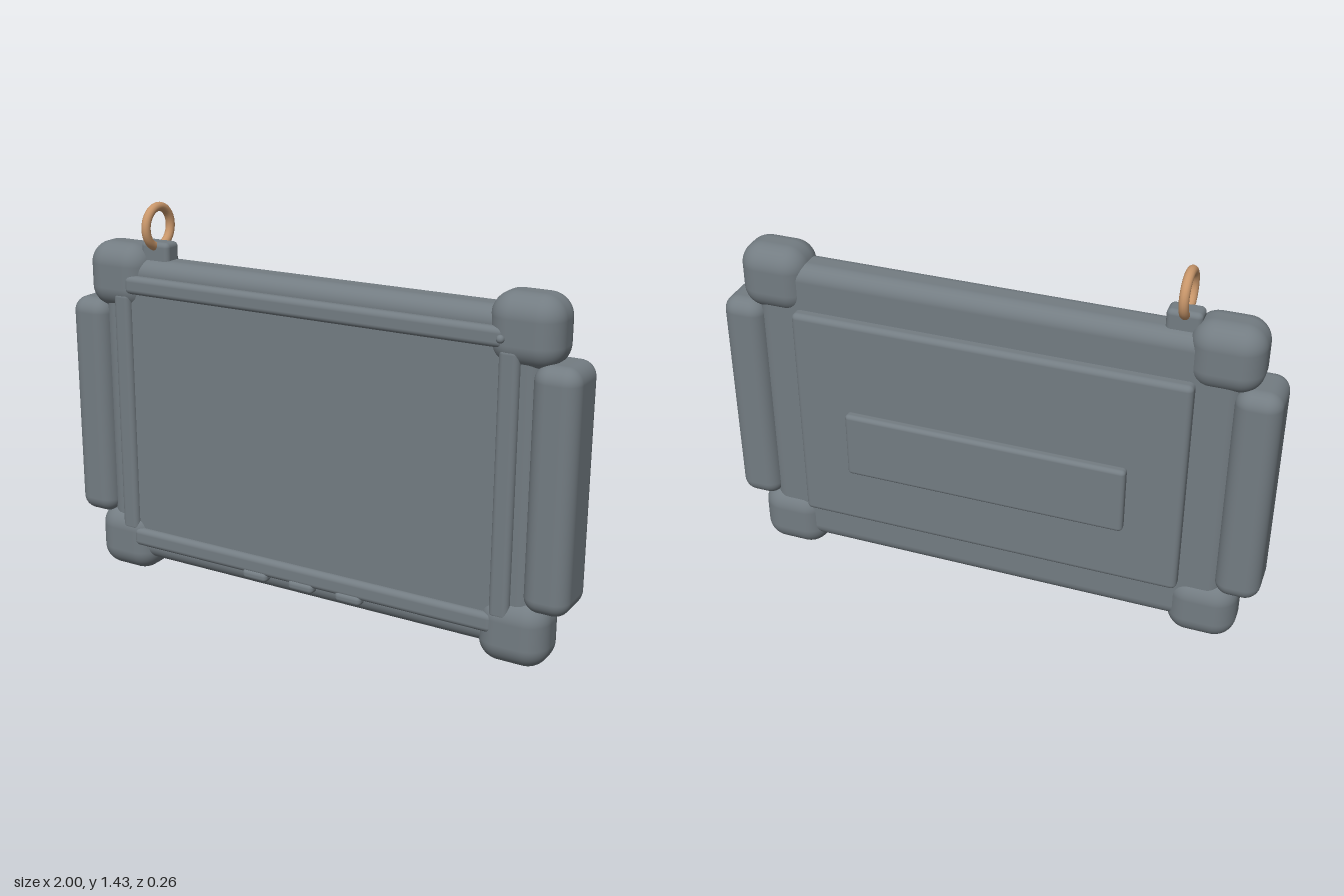
import * as THREE from 'three';
import { RoundedBoxGeometry } from 'three/addons/geometries/RoundedBoxGeometry.js';

export function createModel() {
  const model = new THREE.Group();
  model.name = 'ruggedTablet';
  const grey = new THREE.MeshStandardMaterial({ color: 0x737c82 });
  grey.name = 'slate grey rubber';
  const copper = new THREE.MeshStandardMaterial({ color: 0xc8966a });
  copper.name = 'copper';

  const add = (name, geometry, material = grey) => {
    const mesh = new THREE.Mesh(geometry, material);
    mesh.name = name;
    model.add(mesh);
    return mesh;
  };
  // Rounded block given by its extents on each axis
  const block = (name, [x0, x1], [y0, y1], [z0, z1], radius, segments = 5) => {
    const mesh = add(name, new RoundedBoxGeometry(x1 - x0, y1 - y0, z1 - z0, segments, radius));
    mesh.position.set((x0 + x1) / 2, (y0 + y1) / 2, (z0 + z1) / 2);
    return mesh;
  };

  // Main case and screen
  block('case', [-0.87, 0.87], [0.055, 1.222], [-0.06, 0.09], 0.055);
  block('screen', [-0.75, 0.75], [0.15, 1.13], [0.05, 0.095], 0.005, 2);

  // Corner bumpers, side grips and side bezel bars
  for (const s of [-1, 1]) {
    const side = s < 0 ? 'right' : 'left';
    const span = (a, b) => (s > 0 ? [a, b] : [-b, -a]);
    block(side + 'LowerBumper', span(0.675, 0.925), [0, 0.245], [-0.08, 0.116], 0.08, 8);
    block(side + 'UpperBumper', span(0.675, 0.925), [1.03, 1.274], [-0.08, 0.116], 0.08, 8);
    block(side + 'Grip', span(0.84, 1), [0.217, 1.06], [-0.086, 0.122], 0.055, 6);
    block(side + 'Bezel', span(0.727, 0.798), [0.17, 1.1], [0.06, 0.114], 0.02);
  }

  // Horizontal bezel bars
  block('topBezel', [-0.745, 0.745], [1.097, 1.165], [0.06, 0.117], 0.02);
  block('bottomBezel', [-0.745, 0.745], [0.115, 0.185], [0.06, 0.117], 0.02);

  // Front buttons
  for (const x of [-0.195, 0, 0.195])
    block('button', [x - 0.053, x + 0.053], [0.093, 0.132], [0.07, 0.122], 0.017);

  // Small camera bead
  add('cameraBead', new THREE.SphereGeometry(0.014, 20, 14)).position.set(0.737, 1.13, 0.117);

  // Back plate and hand strap
  block('backPlate', [-0.715, 0.715], [0.217, 1.06], [-0.1, -0.04], 0.02);
  block('handStrap', [-0.517, 0.517], [0.447, 0.702], [-0.132, -0.09], 0.015);

  // Lug and carrying ring
  block('ringLug', [-0.71, -0.59], [1.19, 1.286], [-0.022, 0.052], 0.018);
  const ring = add('carryingRing', new THREE.TorusGeometry(0.072, 0.0165, 14, 48), copper);
  ring.rotation.y = Math.PI / 2;
  ring.position.set(-0.652, 1.338, 0.018);

  return model;
}
